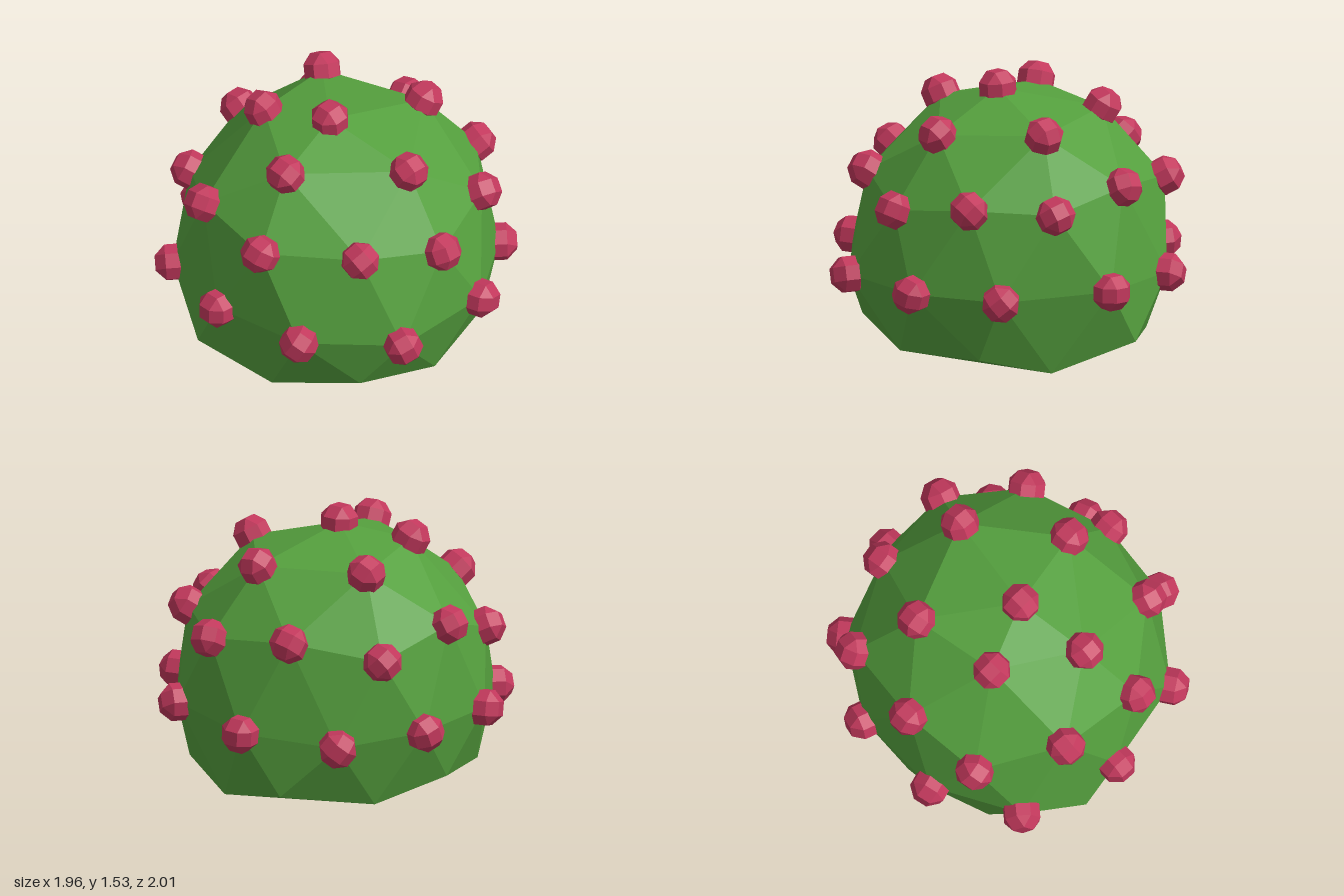
import * as THREE from 'three';
import { ConvexGeometry } from 'three/addons/geometries/ConvexGeometry.js';

// Leaf hull corners that carry a berry, from the crown down to the equator
const crown = [
  [0.01, 1.43, 0.09],
  [-0.44, 1.33, -0.28], [0.14, 1.32, -0.51], [0.52, 1.28, -0.03], [0.09, 1.31, 0.51], [-0.37, 1.37, 0.24],
  [-0.24, 1.01, -0.74], [0.27, 0.95, -0.79], [0.64, 0.97, -0.48], [0.81, 0.89, -0.01], [0.64, 0.98, 0.46],
  [0.2, 0.97, 0.81], [-0.31, 1.02, 0.76], [-0.73, 0.86, 0.46], [-0.8, 1.02, 0.01], [-0.71, 0.93, -0.5],
  [-0.03, 0.48, -0.91], [0.57, 0.47, -0.68], [0.87, 0.47, -0.25], [0.86, 0.44, 0.34], [0.49, 0.49, 0.79],
  [-0.05, 0.5, 0.9], [-0.61, 0.41, 0.71], [-0.87, 0.47, 0.25], [-0.85, 0.48, -0.29], [-0.56, 0.45, -0.72],
];

// Uneven rim of the flattened base
const rim = [
  [-0.25, 0.14, 0.86], [0.23, 0.05, 0.75], [0.66, 0.14, 0.48], [0.76, 0.06, 0], [0.6, 0.1, -0.52],
  [0.23, 0, -0.7], [-0.25, 0.13, -0.84], [-0.62, 0.05, -0.45], [-0.79, 0.12, 0], [-0.65, 0.05, 0.49],
];

const toVector = (p) => new THREE.Vector3(...p);

// Faceted ball: a cube with evenly chamfered edges and corners
function berryGeometry(radius) {
  const near = radius * (Math.SQRT2 - 1);
  const points = [];
  for (let axis = 0; axis < 3; axis++) {
    for (let corner = 0; corner < 8; corner++) {
      const p = [0, 1, 2].map((i) => (corner & (1 << i) ? 1 : -1) * (i === axis ? radius : near));
      points.push(toVector(p));
    }
  }
  return new ConvexGeometry(points);
}

export function createModel() {
  const model = new THREE.Group();
  model.name = 'berryBush';

  // Foliage
  const leafMaterial = new THREE.MeshStandardMaterial({ color: 0x55a03e, flatShading: true });
  const foliage = new THREE.Mesh(new ConvexGeometry([...crown, ...rim].map(toVector)), leafMaterial);
  foliage.name = 'foliage';
  model.add(foliage);

  // Berries, half sunk and turned to point outwards
  const berries = new THREE.Group();
  berries.name = 'berries';
  const berryMaterial = new THREE.MeshStandardMaterial({ color: 0xc2385c, flatShading: true });
  const geometry = berryGeometry(0.098);
  const centre = new THREE.Vector3(0, 0.46, 0);
  const up = new THREE.Vector3(0, 1, 0);
  crown.forEach((p) => {
    const berry = new THREE.Mesh(geometry, berryMaterial);
    berry.name = 'berry';
    berry.position.set(...p);
    berry.quaternion.setFromUnitVectors(up, berry.position.clone().sub(centre).normalize());
    berries.add(berry);
  });
  model.add(berries);

  return model;
}
